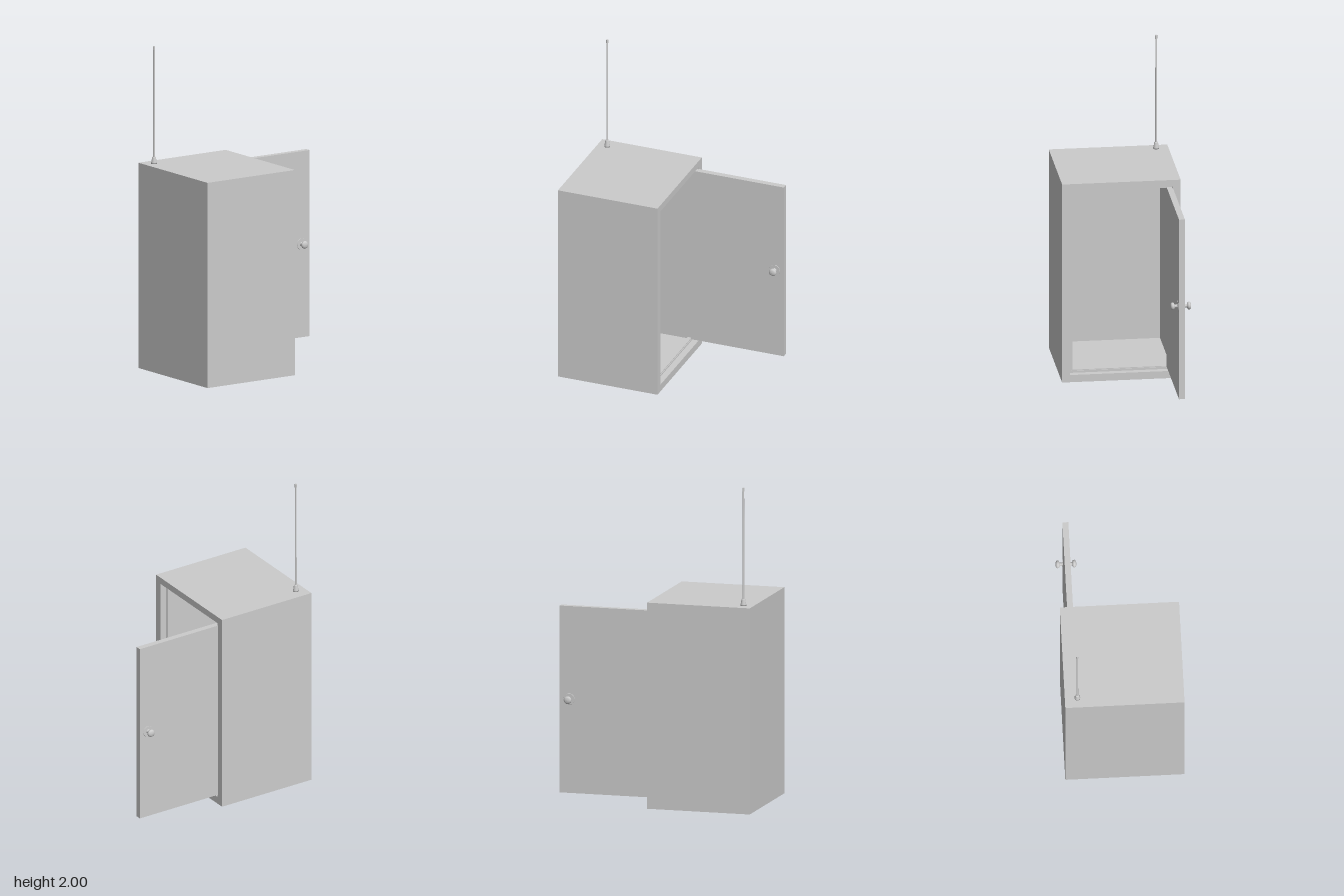
import * as THREE from 'three';

const material = new THREE.MeshStandardMaterial({ color: 0xcccccc, side: THREE.DoubleSide });

function add(parent, name, geometry, x = 0, y = 0, z = 0) {
  const mesh = new THREE.Mesh(geometry, material);
  mesh.name = name;
  mesh.position.set(x, y, z);
  parent.add(mesh);
  return mesh;
}

// Rectangle outline in the (z, y) plane, symmetric in z
function outline(Type, half, y0, y1) {
  const points = [[-half, y0], [half, y0], [half, y1], [-half, y1]];
  return new Type(points.map(([a, b]) => new THREE.Vector2(a, b)));
}

// Rectangular ring running along x from x0 to x1
function frame(parent, name, outer, inner, x0, x1) {
  const shape = outline(THREE.Shape, ...outer);
  shape.holes.push(outline(THREE.Path, ...inner));
  const geometry = new THREE.ExtrudeGeometry(shape, { depth: x1 - x0, bevelEnabled: false });
  geometry.rotateY(Math.PI / 2);
  return add(parent, name, geometry, x0);
}

function lathe(points, segments) {
  return new THREE.LatheGeometry(points.map(([r, y]) => new THREE.Vector2(r, y)), segments);
}

export function createModel() {
  const model = new THREE.Group();
  model.name = 'cabinetWithOpenDoor';

  // Hollow cabinet, open on the +x side
  const body = new THREE.Group();
  body.name = 'cabinet';
  model.add(body);
  const outer = [0.362, 0, 1.272];
  const recess = [0.313, 0.046, 1.23];
  const opening = [0.294, 0.066, 1.209];
  frame(body, 'cabinetWalls', outer, recess, -0.57, 0.04);
  add(body, 'cabinetBack', new THREE.BoxGeometry(0.04, 1.272, 0.724), -0.59, 0.636, 0);
  // Stepped door stop inside the opening
  frame(body, 'doorStop', recess, opening, -0.025, 0);
  frame(body, 'doorSeal', [0.306, 0.053, 1.222], [0.299, 0.061, 1.214], 0, 0.005);

  // Door swung open flush with the rear edge of the opening
  const door = new THREE.Group();
  door.name = 'door';
  door.position.set(0, 0, -0.299);
  model.add(door);
  add(door, 'doorPanel', new THREE.BoxGeometry(0.606, 1.153, 0.036), 0.305, 0.6385, 0);

  // Turned knob and its round plate on both faces
  const knobProfile = [
    [0.014, 0], [0.013, 0.004], [0.010, 0.010], [0.010, 0.018], [0.014, 0.021],
    [0.021, 0.024], [0.0235, 0.030], [0.0235, 0.035], [0.020, 0.041], [0.012, 0.0445], [0, 0.0455],
  ];
  for (const side of [1, -1]) {
    const knob = new THREE.Group();
    knob.name = side > 0 ? 'frontKnob' : 'rearKnob';
    knob.position.set(0.548, 0.64, side * 0.018);
    knob.rotation.x = side * Math.PI / 2;
    door.add(knob);
    add(knob, 'knobPlate', new THREE.CylinderGeometry(0.034, 0.035, 0.002, 32), 0, 0.001, 0);
    add(knob, 'knobHandle', lathe(knobProfile, 32));
  }

  // Whip antenna on the rear corner of the roof
  const antenna = new THREE.Group();
  antenna.name = 'antenna';
  antenna.position.set(-0.547, 1.272, -0.286);
  model.add(antenna);
  add(antenna, 'antennaBase', lathe([
    [0, 0], [0.018, 0], [0.018, 0.008], [0.016, 0.012], [0.012, 0.038], [0.010, 0.043], [0, 0.043],
  ], 24));
  add(antenna, 'antennaRod', new THREE.CylinderGeometry(0.005, 0.006, 0.67, 16), 0, 0.375, 0);
  add(antenna, 'antennaTip', new THREE.CylinderGeometry(0.007, 0.007, 0.022, 16), 0, 0.717, 0);

  return model;
}
